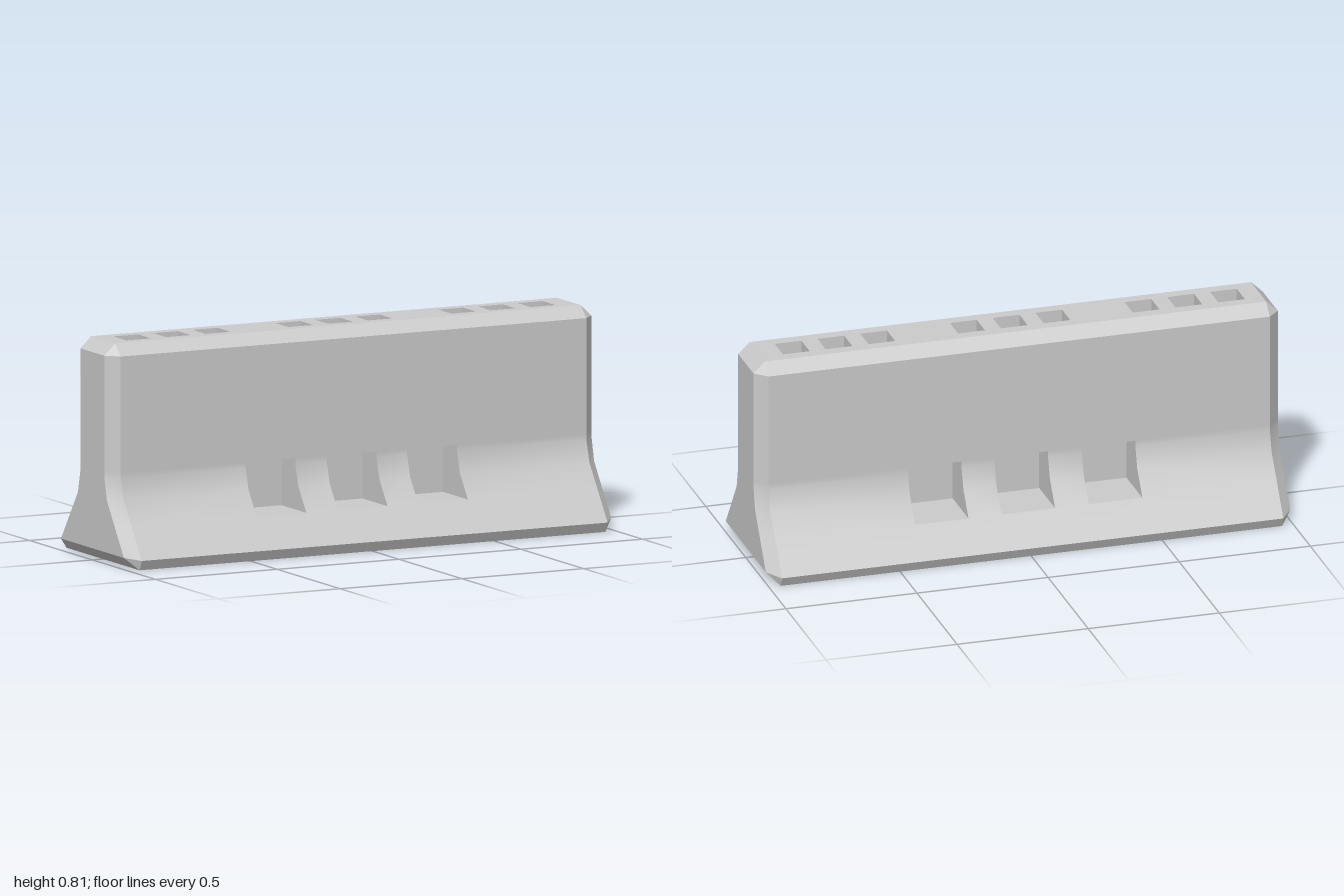
import * as THREE from 'three';
import { toCreasedNormals } from 'three/addons/utils/BufferGeometryUtils.js';

const X = 0.956, TOP = 0.81, RIM = 0.095;
// Side profile as [y, z], bottom to top, and its inset partner on the end face
const profile = [[0, 0.29], [0.037, 0.308], [0.15, 0.227], [0.24, 0.163], [0.32, 0.139], [0.34, 0.139], [0.768, 0.139], [TOP, RIM]];
const endProfile = [[0.043, 0.25], [0.043, 0.25], [0.148, 0.176], [0.235, 0.115], [0.32, RIM], [0.34, RIM], [0.768, RIM], [0.768, RIM]];
const POCKET = [2, 5]; // profile rows spanned by the side pockets

const pocketSpans = [-0.341, -0.008, 0.322].map(c => [c - 0.102, c + 0.102]);
const socketSpans = [-0.674, -0.008, 0.66].flatMap(c =>
  [-0.163, 0, 0.163].map(d => [c + d - 0.051, c + d + 0.051]));
const socketRows = [[TOP, 0.051], [TOP, -0.051]];

// Collects quads, optionally mirrored in x and z
class Surface {
  constructor() { this.pos = []; this.sx = 1; this.sz = 1; }
  tri(...p) {
    const [a, b, c] = p.map(v => new THREE.Vector3(v[0] * this.sx, v[1], v[2] * this.sz));
    const area = b.clone().sub(a).cross(c.clone().sub(a)).length();
    if (area < 1e-9) return;
    for (const v of this.sx * this.sz < 0 ? [a, c, b] : [a, b, c]) this.pos.push(v.x, v.y, v.z);
  }
  quad(a, b, c, d) { this.tri(a, b, c); this.tri(a, c, d); }
  // Sheet across x columns and [y, z] rows, leaving out open cells
  sheet(xs, rows, open = () => false) {
    for (let j = 0; j < rows.length - 1; j++)
      for (let i = 0; i < xs.length - 1; i++)
        if (!open(i, j)) this.quad([xs[i], ...rows[j]], [xs[i + 1], ...rows[j]], [xs[i + 1], ...rows[j + 1]], [xs[i], ...rows[j + 1]]);
  }
  // Walls and back of a recess from its mouth rows to its inner rows
  recess([x0, x1], mouth, inner) {
    const n = mouth.length - 1;
    this.sheet([x0, x1], [mouth[0], inner[0]]);
    this.sheet([x0, x1], [inner[n], mouth[n]]);
    this.sheet([x0, x1], inner);
    for (let i = 0; i < n; i++) {
      this.quad([x0, ...mouth[i]], [x0, ...inner[i]], [x0, ...inner[i + 1]], [x0, ...mouth[i + 1]]);
      this.quad([x1, ...mouth[i + 1]], [x1, ...inner[i + 1]], [x1, ...inner[i]], [x1, ...mouth[i]]);
    }
  }
  mesh(name, material) {
    const geo = new THREE.BufferGeometry();
    geo.setAttribute('position', new THREE.Float32BufferAttribute(this.pos, 3));
    const mesh = new THREE.Mesh(toCreasedNormals(geo, THREE.MathUtils.degToRad(25)), material);
    mesh.name = name;
    return mesh;
  }
}

export function createModel() {
  const material = new THREE.MeshStandardMaterial({ color: 0xcccccc });
  const sides = new Surface(), top = new Surface(), base = new Surface();
  const ends = new Surface(), pockets = new Surface(), sockets = new Surface();

  const mouth = profile.slice(POCKET[0], POCKET[1] + 1);
  for (const sz of [1, -1]) {
    for (const s of [sides, base, ends, pockets]) s.sz = sz;

    // Long flared side with three pockets
    sides.sheet([-X, ...pocketSpans.flat(), X], profile, (i, j) => i % 2 === 1 && j >= POCKET[0] && j < POCKET[1]);
    for (const span of pocketSpans) pockets.recess(span, mouth, mouth.map(([y]) => [y, 0.03]));

    // Underside
    base.sheet([-X, X], [[0, 0], [0, 0.29]]);

    // Chamfered ends
    for (const sx of [1, -1]) {
      ends.sx = sx;
      for (let i = 0; i < profile.length - 1; i++) {
        const [y0, z0] = endProfile[i], [y1, z1] = endProfile[i + 1];
        ends.quad([X, ...profile[i]], [1, y0, z0], [1, y1, z1], [X, ...profile[i + 1]]);
        ends.quad([1, y0, z0], [1, y0, 0], [1, y1, 0], [1, y1, z1]);
      }
      ends.quad([X, TOP, RIM], [1, 0.768, RIM], [1, 0.768, 0], [X, TOP, 0]);
      ends.quad([1, 0.043, 0.25], [X, 0, 0.29], [X, 0, 0], [1, 0.043, 0]);
    }
  }

  // Top with three groups of three square sockets
  top.sheet([-X, ...socketSpans.flat(), X], [[TOP, RIM], ...socketRows, [TOP, -RIM]], (i, j) => i % 2 === 1 && j === 1);
  for (const span of socketSpans) sockets.recess(span, socketRows, socketRows.map(([y, z]) => [y - 0.1, z]));

  const group = new THREE.Group();
  group.name = 'roadBarrier';
  group.add(
    sides.mesh('flaredSides', material), top.mesh('topFace', material),
    base.mesh('underside', material), ends.mesh('chamferedEnds', material),
    pockets.mesh('sidePockets', material), sockets.mesh('topSockets', material));
  return group;
}
